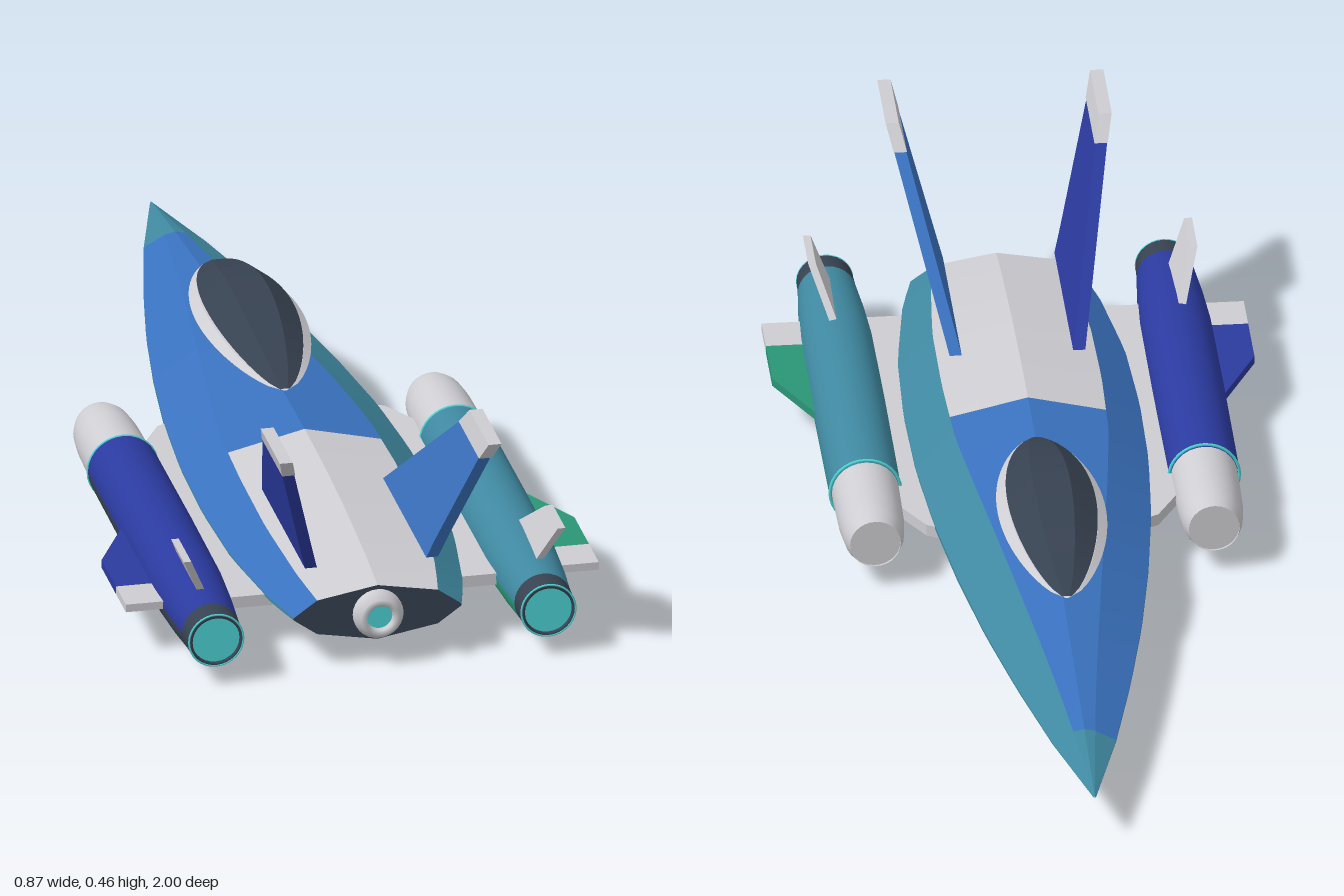
import * as THREE from 'three';

const mat = (name, color, side = THREE.FrontSide) => {
  const m = new THREE.MeshStandardMaterial({ color, side });
  m.name = name;
  return m;
};

export function createModel() {
  const root = new THREE.Group();
  root.name = 'spacecraft';
  const grey = mat('lightGrey', 0xcdcdd2, THREE.DoubleSide);
  const blue = mat('blue', 0x3a72bf), navy = mat('navy', 0x2b3a9f);
  const teal = mat('teal', 0x3f88a0), green = mat('green', 0x2a9576);
  const slate = mat('slate', 0x374251), cyan = mat('cyan', 0x4fd6d8);

  const add = (name, geo, material, parent = root) => {
    const mesh = new THREE.Mesh(geo, material);
    mesh.name = name;
    parent.add(mesh);
    return mesh;
  };

  // Surface strip between two section corners, swept along z
  const band = (section, i, z0, z1, n) => {
    const pos = [], idx = [];
    for (let k = 0; k <= n; k++) {
      const s = section(z0 + (z1 - z0) * k / n);
      pos.push(...s[i], ...s[(i + 1) % s.length]);
      if (k < n) { const a = 2 * k; idx.push(a, a + 1, a + 3, a, a + 3, a + 2); }
    }
    const g = new THREE.BufferGeometry();
    g.setAttribute('position', new THREE.Float32BufferAttribute(pos, 3));
    g.setIndex(idx);
    g.computeVertexNormals();
    return g;
  };

  const polygon = (pts) => new THREE.Shape(pts.map(([x, y]) => new THREE.Vector2(x, y)));
  const plate = (pts, depth) => new THREE.ExtrudeGeometry(polygon(pts), { depth, bevelEnabled: false });

  // Leaning fin: outline in (z, y), leaning outwards in x as it rises
  const fin = (pts, side, baseX, baseY, lean, t) => {
    const g = plate(pts.map(([z, y]) => [-z, y]), t).translate(0, 0, -t / 2).rotateY(Math.PI / 2);
    const p = g.attributes.position;
    for (let i = 0; i < p.count; i++) p.setX(i, p.getX(i) + side * (baseX + lean * (p.getY(i) - baseY)));
    g.computeVertexNormals();
    return g;
  };

  // Horizontal plate: outline in (x, z)
  const flat = (pts, side, y, t) =>
    plate(pts.map(([x, z]) => [side * x, -z]), t).rotateX(-Math.PI / 2).translate(0, y, 0);

  // Turned part along z, profile of [radius, z]
  const turned = (pts, start = 0, length = Math.PI * 2, seg = 28) =>
    new THREE.LatheGeometry(pts.map(([r, z]) => new THREE.Vector2(r, z)), seg, start, length).rotateX(Math.PI / 2);

  // Hull stations: z, half width, half height
  const stations = [
    [-1, 0.002, 0.002], [-0.8, 0.058, 0.027], [-0.6, 0.103, 0.046], [-0.4, 0.142, 0.063],
    [-0.2, 0.173, 0.079], [0, 0.197, 0.09], [0.2, 0.211, 0.096], [0.4, 0.214, 0.096],
    [0.6, 0.206, 0.088], [0.8, 0.178, 0.068], [0.89, 0.155, 0.053]];
  const sample = (z, c) => {
    let i = 0;
    while (i < stations.length - 2 && z > stations[i + 1][0]) i++;
    const a = stations[i], b = stations[i + 1];
    return THREE.MathUtils.mapLinear(z, a[0], b[0], a[c], b[c]);
  };
  const hull = (z) => {
    const w = sample(z, 1), h = sample(z, 2);
    const y = 0.085 + 0.014 * THREE.MathUtils.clamp(z + 1, 0, 1);
    const f = z < 0.2 ? THREE.MathUtils.mapLinear(z, -1, 0.2, 0.28, 0.66)
      : THREE.MathUtils.mapLinear(z, 0.2, 0.89, 0.66, 0.72);
    const s = 1 - 0.52 * f, e = 0.04;
    return [[1, -e], [1, e], [f, s], [0, 1], [-f, s], [-1, e], [-1, -e], [-f, -s], [0, -1], [f, -s]]
      .map(([px, py]) => [px * w, y + py * h, z]);
  };
  const fuselage = new THREE.Group();
  fuselage.name = 'fuselage';
  root.add(fuselage);
  const skin = [
    ['rightEdge', teal], ['rightSide', teal], ['topPanel', blue], ['topPanel', blue], ['leftSide', blue],
    ['leftEdge', teal], ['underside', grey], ['underside', grey], ['underside', grey], ['underside', grey]];
  skin.forEach(([name, m], i) => {
    const upper = i >= 2 && i <= 4;
    add(name + 'Nose', band(hull, i, -1, -0.8, 4), upper ? teal : m, fuselage);
    add(name, band(hull, i, -0.8, 0.28, 18), m, fuselage);
    add(name + 'Rear', band(hull, i, 0.28, 0.89, 12), i === 2 || i === 3 ? grey : m, fuselage);
  });
  add('tailPlate', new THREE.ShapeGeometry(polygon(hull(0.89))).translate(0, 0, 0.89), slate, fuselage);

  // Central thruster
  const thruster = add('thrusterRing', turned([[0.046, 0.88], [0.046, 0.9], [0.036, 0.918], [0.024, 0.918], [0.024, 0.9]]), grey);
  thruster.position.y = 0.098;
  add('thrusterGlow', new THREE.CircleGeometry(0.025, 24).translate(0, 0.098, 0.905), cyan);

  // Canopy and its rim, tapering to a point at both ends
  const lens = (pts) => (z) => {
    const u = (z + 0.175) / 0.297, s = Math.max(0.002, 1 - u * u);
    return pts.map(([x, y]) => [x * Math.sqrt(s) * (0.6 + 0.4 * Math.sqrt(s)), 0.202 + y * s, z]);
  };
  const rim = lens([[0.098, 0.014], [0.08, 0.028], [-0.08, 0.028], [-0.098, 0.014], [0, -0.004]]);
  const glass = lens([[0.08, 0.036], [0.034, 0.073], [-0.034, 0.073], [-0.08, 0.036], [-0.05, 0.01], [0.05, 0.01]]);
  for (let i = 0; i < 5; i++) add('canopyRim', band(rim, i, -0.472, 0.122, 28), grey);
  for (let i = 0; i < 6; i++) add('canopyGlass', band(glass, i, -0.468, 0.118, 28), slate);

  for (const side of [1, -1]) {
    const right = side > 0;
    const tint = right ? teal : navy;

    // Tail fin with pale tip
    const lean = 0.285;
    add('tailFin', fin([[0.48, 0.175], [0.84, 0.175], [0.86, 0.22], [0.965, 0.42], [0.80, 0.42]],
      side, 0.112, 0.175, lean, 0.022), right ? blue : navy);
    add('tailFinTip', fin([[0.80, 0.42], [0.97, 0.42], [1, 0.459], [0.84, 0.459]],
      side, 0.112, 0.175, lean, 0.024), grey);

    // Pylon joining hull and pod
    add('pylon', flat([[0.15, -0.03], [0.21, 0], [0.25, 0.07], [0.25, 0.77], [0.15, 0.77]], side, 0.077, 0.022), grey);

    // Engine pod
    const pod = new THREE.Group();
    pod.name = 'enginePod';
    pod.position.set(side * 0.307, 0.09, 0);
    root.add(pod);
    const body = [[0.057, 0.145], [0.065, 0.152], [0.066, 0.45], [0.065, 0.7], [0.06, 0.8], [0.053, 0.885]];
    const q = Math.PI / 2;
    add('podUpper', turned(body, q, 2 * q, 14), tint, pod);
    add('podLowerInner', turned(body, right ? 3 * q : 0, q, 7), right ? green : blue, pod);
    add('podLowerOuter', turned(body, right ? 0 : 3 * q, q, 7), right ? green : slate, pod);
    add('podNose', turned([[0.046, -0.045], [0.054, -0.02], [0.059, 0.03], [0.061, 0.147]]), grey, pod);
    add('podNoseCap', new THREE.CircleGeometry(0.046, 28).rotateY(Math.PI).translate(0, 0, -0.04), grey, pod);
    add('podCollar', new THREE.TorusGeometry(0.064, 0.003, 6, 32).translate(0, 0, 0.15), cyan, pod);
    add('podNozzle', turned([[0.053, 0.882], [0.051, 0.93], [0.044, 0.932], [0.044, 0.92]]), slate, pod);
    add('nozzleRim', new THREE.TorusGeometry(0.05, 0.002, 6, 32).translate(0, 0, 0.93), cyan, pod);
    add('nozzleGlow', new THREE.CircleGeometry(0.045, 28).translate(0, 0, 0.925), cyan, pod);

    // Winglet with pale trailing part
    add('winglet', flat([[0.36, 0.40], [0.372, 0.43], [0.437, 0.56], [0.437, 0.68], [0.36, 0.68]], side, 0.085, 0.015),
      right ? green : navy);
    add('wingletRear', flat([[0.36, 0.68], [0.437, 0.68], [0.437, 0.763], [0.36, 0.763]], side, 0.085, 0.015), grey);

    // Small fin on top of the pod
    add('podFin', fin([[0.66, 0.148], [0.83, 0.148], [0.865, 0.22], [0.76, 0.22]], side, 0.314, 0.148, 0.44, 0.014), grey);
  }
  return root;
}
